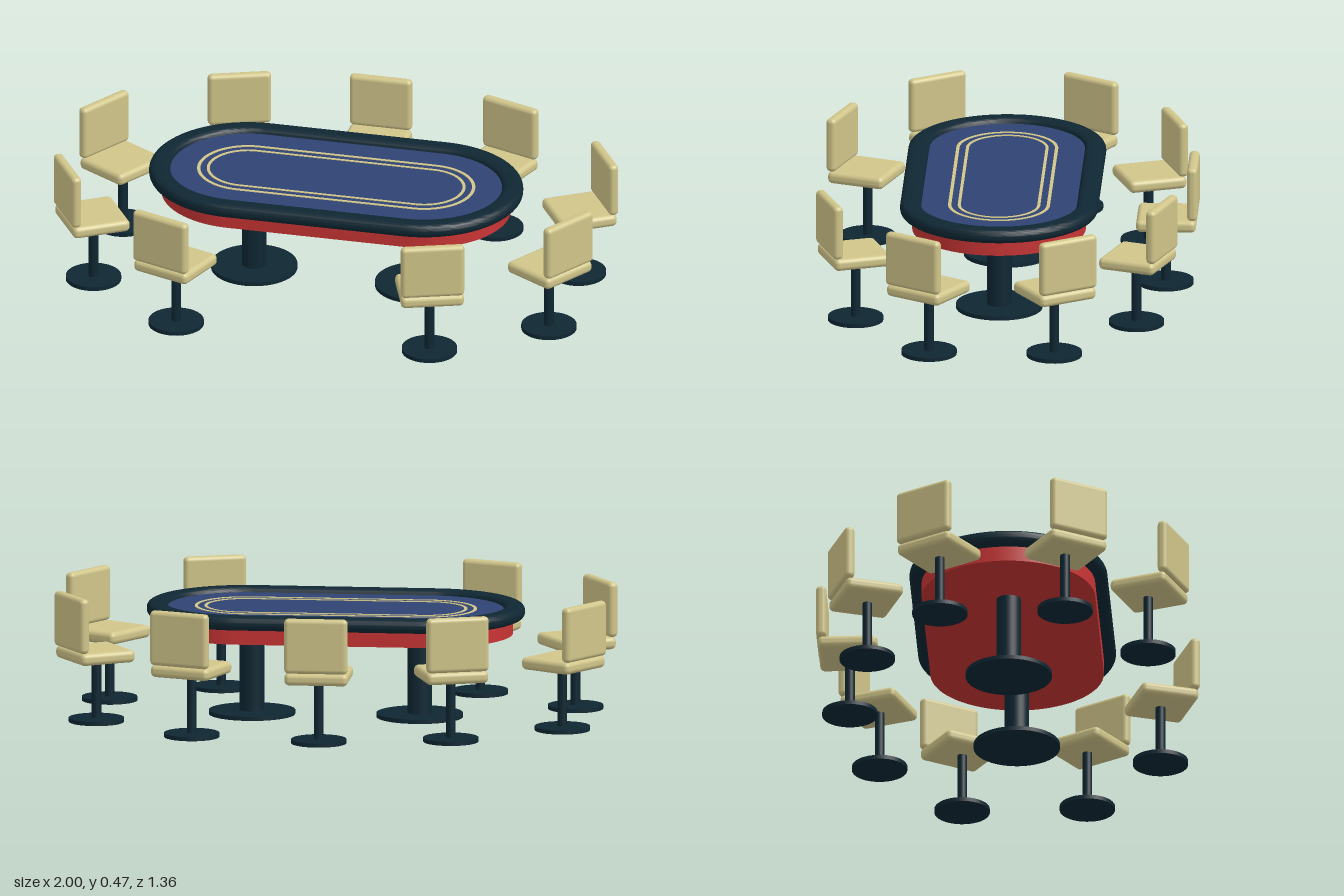
import * as THREE from 'three';
import { toCreasedNormals } from 'three/addons/utils/BufferGeometryUtils.js';
import { RoundedBoxGeometry } from 'three/addons/geometries/RoundedBoxGeometry.js';

const material = (name, color) => {
  const m = new THREE.MeshStandardMaterial({ color });
  m.name = name;
  return m;
};

export function createModel() {
  const cream = material('cream', 0xd0c58a);
  const dark = material('dark navy', 0x0f2733);
  const red = material('red', 0xc83434);
  const blue = material('felt blue', 0x2f4373);

  const model = new THREE.Group();
  model.name = 'cardTableSet';

  const add = (parent, name, geometry, mat, x = 0, y = 0, z = 0) => {
    const mesh = new THREE.Mesh(geometry, mat);
    mesh.name = name;
    mesh.position.set(x, y, z);
    parent.add(mesh);
    return mesh;
  };

  // Capsule outline: two half circles joined by straight sides
  const HALF = 0.327;
  const outline = (path, r) => {
    path.absarc(HALF, 0, r, -Math.PI / 2, Math.PI / 2, false);
    path.absarc(-HALF, 0, r, Math.PI / 2, Math.PI * 1.5, false);
    path.closePath();
    return path;
  };

  // Upright slab or ring with a capsule outline, rising from y = 0
  const slab = (outer, inner, height, bevel = 0) => {
    const shape = outline(new THREE.Shape(), outer - bevel);
    if (inner) shape.holes.push(outline(new THREE.Path(), inner + bevel));
    const geo = new THREE.ExtrudeGeometry(shape, {
      depth: height - 2 * bevel,
      curveSegments: 32,
      bevelEnabled: bevel > 0,
      bevelSize: bevel,
      bevelThickness: bevel,
      bevelSegments: 6,
    });
    geo.translate(0, 0, bevel);
    geo.rotateX(-Math.PI / 2);
    return toCreasedNormals(geo, 0.6);
  };

  // Table
  const table = new THREE.Group();
  table.name = 'table';
  table.position.z = 0.025;
  model.add(table);
  add(table, 'apron', slab(0.313, 0, 0.06), red, 0, 0.306);
  add(table, 'felt', slab(0.3, 0, 0.028), blue, 0, 0.367);
  add(table, 'paddedRail', slab(0.357, 0.28, 0.05, 0.022), dark, 0, 0.362);
  add(table, 'outerLine', slab(0.184, 0.172, 0.003), cream, 0, 0.394);
  add(table, 'innerLine', slab(0.149, 0.138, 0.003), cream, 0, 0.394);
  for (const side of [-1, 1]) {
    add(table, 'tableColumn', new THREE.CylinderGeometry(0.045, 0.045, 0.3, 32), dark, side * 0.304, 0.158);
    add(table, 'tableBase', new THREE.CylinderGeometry(0.156, 0.156, 0.015, 48), dark, side * 0.304, 0.0075);
  }

  // Chair with its back towards local -z
  const seatGeo = new RoundedBoxGeometry(0.23, 0.045, 0.216, 4, 0.018);
  const backGeo = new RoundedBoxGeometry(0.23, 0.2, 0.037, 4, 0.016);
  const poleGeo = new THREE.CylinderGeometry(0.0175, 0.0175, 0.22, 24);
  const footGeo = new THREE.CylinderGeometry(0.1, 0.1, 0.015, 40);
  const addChair = (x, z, degrees) => {
    const chair = new THREE.Group();
    chair.name = 'chair';
    chair.position.set(x, 0, z);
    chair.rotation.y = THREE.MathUtils.degToRad(degrees);
    add(chair, 'seat', seatGeo, cream, 0, 0.248, -0.004);
    add(chair, 'backrest', backGeo, cream, 0, 0.37, -0.099);
    add(chair, 'pole', poleGeo, dark, 0, 0.12, 0);
    add(chair, 'foot', footGeo, dark, 0, 0.0075, 0);
    model.add(chair);
  };

  // One chair at the back, four mirrored pairs around the table
  addChair(0, -0.563, 0);
  for (const side of [-1, 1]) {
    addChair(side * 0.47, -0.478, -side * 20);
    addChair(side * 0.845, -0.198, -side * 58);
    addChair(side * 0.845, 0.254, -side * 122);
    addChair(side * 0.47, 0.536, -side * 160);
  }
  return model;
}
